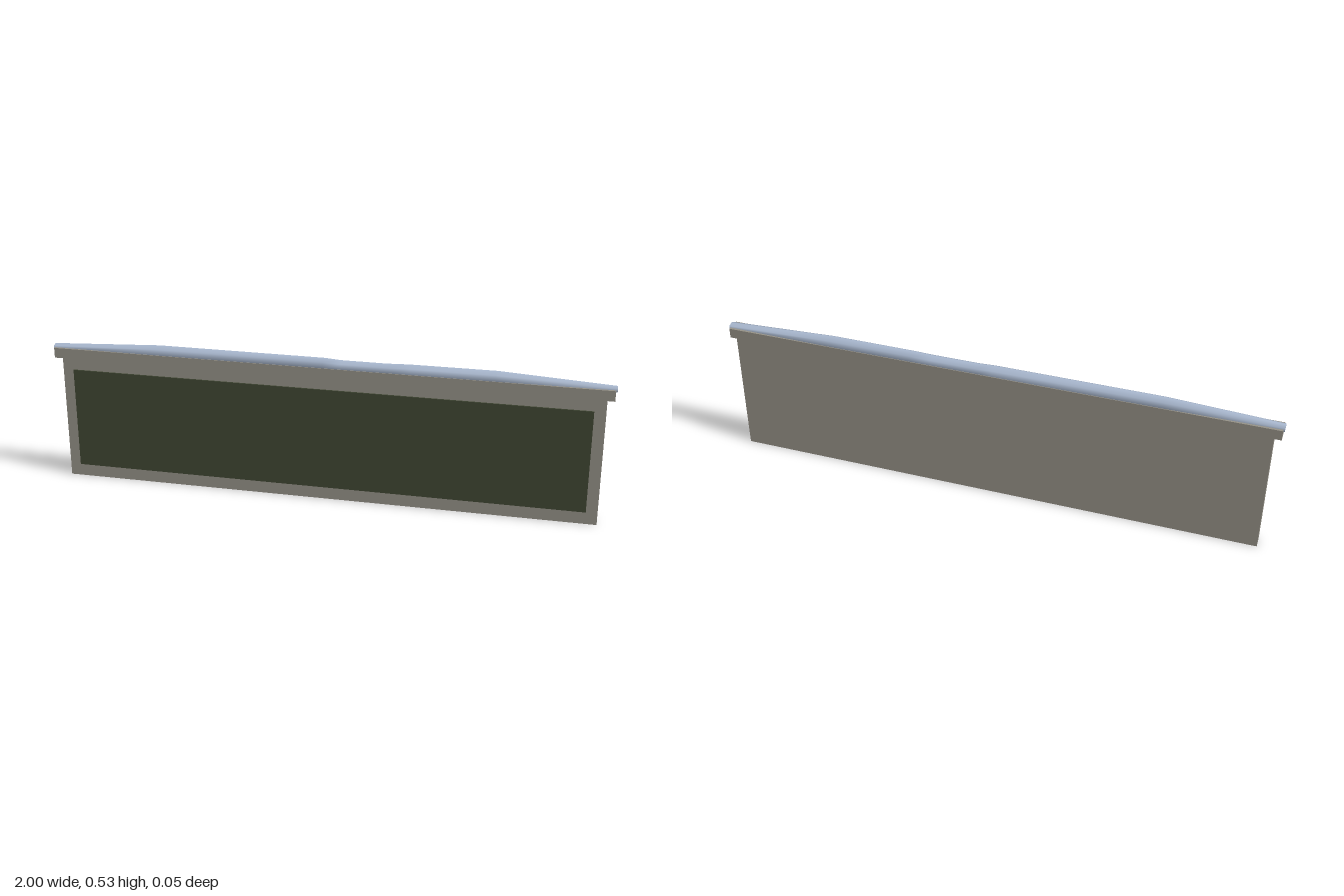
import * as THREE from 'three';

const stone = new THREE.MeshStandardMaterial({ color: 0x959187 });
const board = new THREE.MeshStandardMaterial({ color: 0x3f4633 });
const snow = new THREE.MeshStandardMaterial({ color: 0xa9b8cf });

// Box given by its min and max corners
function box(name, [x0, y0, z0], [x1, y1, z1], material) {
  const mesh = new THREE.Mesh(new THREE.BoxGeometry(x1 - x0, y1 - y0, z1 - z0), material);
  mesh.position.set((x0 + x1) / 2, (y0 + y1) / 2, (z0 + z1) / 2);
  mesh.name = name;
  return mesh;
}

// Snow ridge: a six-sided section lofted along x, lower and narrower at the ends
function snowGeometry() {
  // x, half width, base y, crest y
  const stations = [
    [-1, 0.019, 0.495, 0.512], [-0.6, 0.024, 0.499, 0.533], [0, 0.024, 0.499, 0.533],
    [0.06, 0.024, 0.499, 0.529], [0.22, 0.024, 0.499, 0.529], [0.3, 0.024, 0.499, 0.532],
    [0.6, 0.024, 0.499, 0.533], [1, 0.019, 0.495, 0.512],
  ];
  const rings = stations.map(([x, w, base, crest]) => {
    const shoulder = base + (crest - base) * 0.68;
    return [
      [x, base, w], [x, shoulder, w * 0.8], [x, crest, 0],
      [x, shoulder, -w * 0.8], [x, base, -w], [x, base + 0.007, 0],
    ];
  });
  const positions = rings.flat(2);
  const index = [];
  const n = 6;
  for (let i = 0; i < rings.length - 1; i++) {
    for (let j = 0; j < n; j++) {
      const a = i * n + j, d = i * n + (j + 1) % n;
      index.push(a, a + n, d + n, a, d + n, d);
    }
  }
  // End caps, fanned from the crest with their own vertices
  [rings[0], rings[rings.length - 1]].forEach((ring, end) => {
    const start = positions.length / 3;
    positions.push(...ring.flat());
    for (let k = 3; k < n + 1; k++) {
      const a = start + k % n, b = start + (k + 1) % n;
      index.push(start + 2, end ? b : a, end ? a : b);
    }
  });
  const geometry = new THREE.BufferGeometry();
  geometry.setAttribute('position', new THREE.Float32BufferAttribute(positions, 3));
  geometry.setIndex(index);
  geometry.computeVertexNormals();
  return geometry;
}

export function createModel() {
  const group = new THREE.Group();
  group.name = 'snowyWallBoard';

  // Wall slab, its overhanging coping and the inset board on the front
  group.add(box('wall', [-0.97, 0, -0.026], [0.97, 0.465, 0.013], stone));
  group.add(box('coping', [-0.995, 0.465, -0.026], [0.995, 0.502, 0.026], stone));
  group.add(box('frontBoard', [-0.93, 0.046, 0.01], [0.93, 0.42, 0.018], board));

  // Snow lying along the coping
  const ridge = new THREE.Mesh(snowGeometry(), snow);
  ridge.name = 'snowRidge';
  group.add(ridge);
  return group;
}
